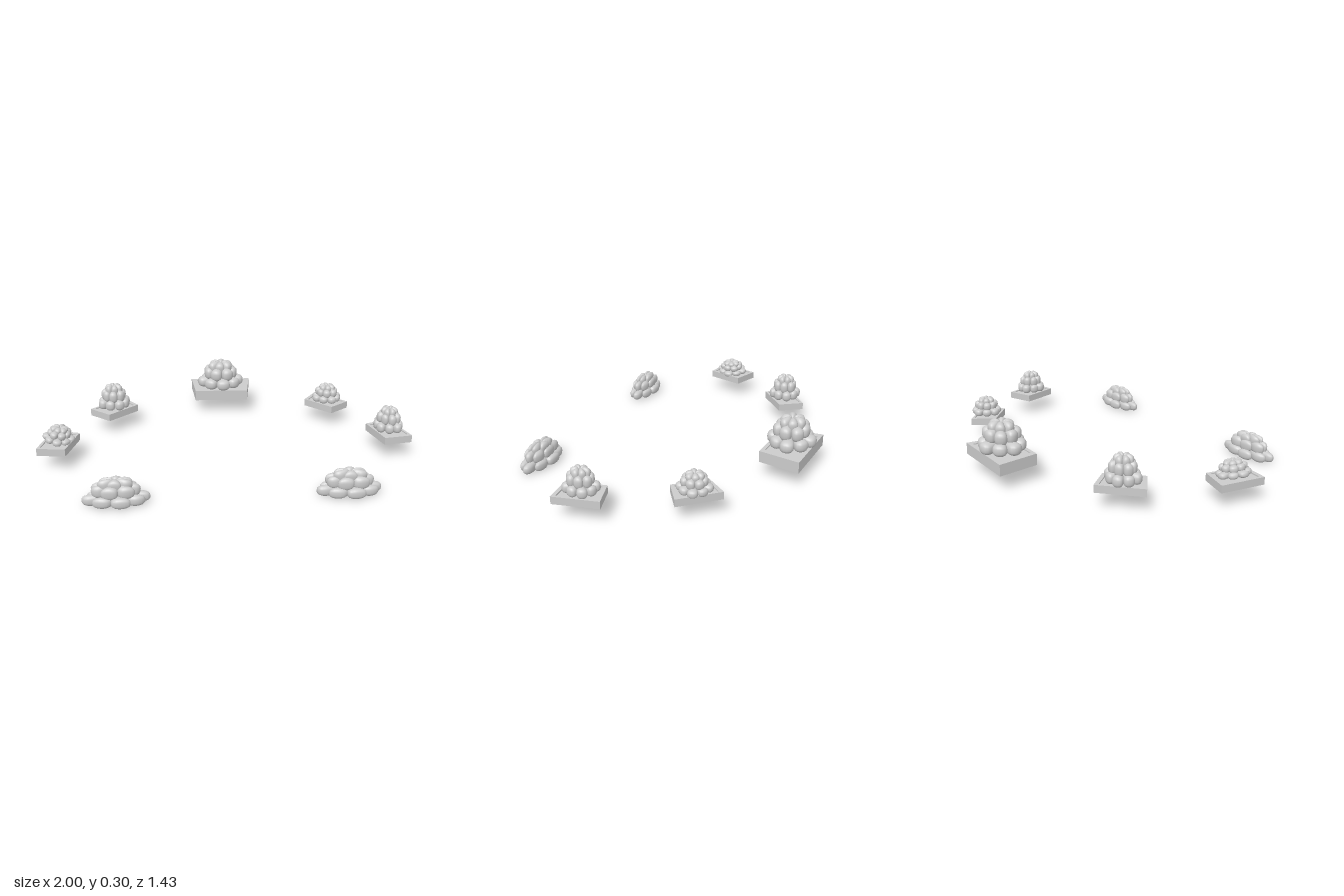
import * as THREE from 'three';

const material = new THREE.MeshStandardMaterial({ color: 0xcccccc, side: THREE.DoubleSide });

// Fleshy egg-shaped petal: unit size, narrow at the inner end (z = -1), blunt at the outer end.
function petalGeometry() {
  const g = new THREE.SphereGeometry(1, 18, 14);
  const p = g.attributes.position;
  const blunt = (v, e) => Math.sign(v) * Math.pow(Math.abs(v), e);
  for (let i = 0; i < p.count; i++) {
    const z = p.getZ(i);
    const taper = 0.68 + 0.32 * z;
    p.setXYZ(i, p.getX(i) * taper, blunt(p.getY(i), 0.75) * (0.9 + 0.1 * z), blunt(z, 0.8));
  }
  g.computeVertexNormals();
  return g;
}
const petalShape = petalGeometry();

// Tiers of a rosette with radius 1 and height 1
const TIERS = [
  { name: 'outerPetal', count: 8, inner: 0.2, outer: 1.0, low: 0.0, high: 0.44, width: 0.38, lean: 0 },
  { name: 'middlePetal', count: 7, inner: 0.1, outer: 0.77, low: 0.3, high: 0.8, width: 0.33, lean: 0.1 },
  { name: 'innerPetal', count: 6, inner: 0.02, outer: 0.54, low: 0.52, high: 1.0, width: 0.27, lean: 0.22 },
];

function rosette(turn) {
  const group = new THREE.Group();
  TIERS.forEach((t, k) => {
    for (let i = 0; i < t.count; i++) {
      const spoke = new THREE.Group();
      spoke.rotation.y = turn + k * 0.4 + (i / t.count) * Math.PI * 2;
      const petal = new THREE.Mesh(petalShape, material);
      petal.name = t.name;
      const vary = 1 - 0.06 * (i % 2);
      petal.scale.set(t.width, (t.high - t.low) / 2, ((t.outer - t.inner) / 2) * vary);
      petal.position.set(0, (t.low + t.high) / 2, ((t.outer + t.inner) / 2) * vary);
      petal.rotation.x = t.lean;
      spoke.add(petal);
      group.add(spoke);
    }
  });
  // Heart of the rosette, closing the gaps between petals
  const core = new THREE.Mesh(new THREE.CylinderGeometry(0.12, 0.42, 0.75, 20), material);
  core.name = 'core';
  core.position.y = 0.47;
  group.add(core);
  return group;
}

// Four-cornered tray, open underneath, with a recessed bed just below the rim
function tray(corners, bottom, top) {
  const group = new THREE.Group();
  const pts = corners.map(([x, z]) => new THREE.Vector2(x, -z));
  const mid = pts.reduce((s, p) => s.add(p), new THREE.Vector2()).multiplyScalar(0.25);
  const inset = pts.map((p) => p.clone().lerp(mid, 0.18));
  const slab = (name, shape, y, depth) => {
    const g = new THREE.ExtrudeGeometry(shape, { depth, bevelEnabled: false });
    g.rotateX(-Math.PI / 2);
    const m = new THREE.Mesh(g, material);
    m.name = name;
    m.position.y = y;
    group.add(m);
  };
  const frame = new THREE.Shape(pts);
  frame.holes.push(new THREE.Path(inset));
  slab('trayFrame', frame, bottom, top - bottom);
  slab('trayBed', new THREE.Shape(inset), top - 0.014, 0.008);
  group.name = 'tray';
  return group;
}

// at: rosette base centre, size: half width, height, half depth
const PLANTS = [
  { name: 'frontRightPlant', at: [-0.572, 0, 0.635], size: [0.165, 0.14, 0.078], turn: 0.2 },
  { name: 'frontLeftPlant', at: [0.56, 0, 0.635], size: [0.165, 0.14, 0.078], turn: 0.2 },
  { name: 'backPlant', at: [0.028, 0.14, -0.585], size: [0.143, 0.17, 0.13], turn: 0.1, top: 0.147,
    corners: [[-0.15, -0.705], [0.22, -0.69], [0.185, -0.465], [-0.135, -0.48]] },
  { name: 'backRightPlant', at: [-0.627, 0.12, -0.32], size: [0.097, 0.148, 0.092], turn: 0.5, top: 0.125,
    corners: [[-0.575, -0.455], [-0.49, -0.335], [-0.65, -0.187], [-0.765, -0.29]] },
  { name: 'backLeftPlant', at: [0.655, 0.12, -0.325], size: [0.09, 0.106, 0.09], turn: 0.3, top: 0.125,
    corners: [[0.61, -0.455], [0.775, -0.28], [0.66, -0.197], [0.525, -0.34]] },
  { name: 'rightPlant', at: [-0.897, 0.122, 0.145], size: [0.085, 0.086, 0.097], turn: 0.0, top: 0.125, tilt: -0.18,
    corners: [[-0.945, 0.01], [-0.795, 0.06], [-0.85, 0.27], [-1, 0.248]] },
  { name: 'leftPlant', at: [0.895, 0.12, 0.145], size: [0.084, 0.136, 0.094], turn: 0.6, top: 0.125,
    corners: [[0.795, 0.065], [0.94, 0.015], [1, 0.248], [0.845, 0.27]] },
];

export function createModel() {
  const model = new THREE.Group();
  model.name = 'succulentRing';
  for (const { name, at, size, turn, corners, top, tilt = 0 } of PLANTS) {
    const plant = new THREE.Group();
    plant.name = name;
    const flower = rosette(turn);
    flower.name = 'rosette';
    flower.scale.set(...size);
    flower.rotation.z = tilt;
    flower.position.set(...at);
    plant.add(flower);
    if (corners) plant.add(tray(corners, 0.085, top));
    model.add(plant);
  }
  return model;
}
